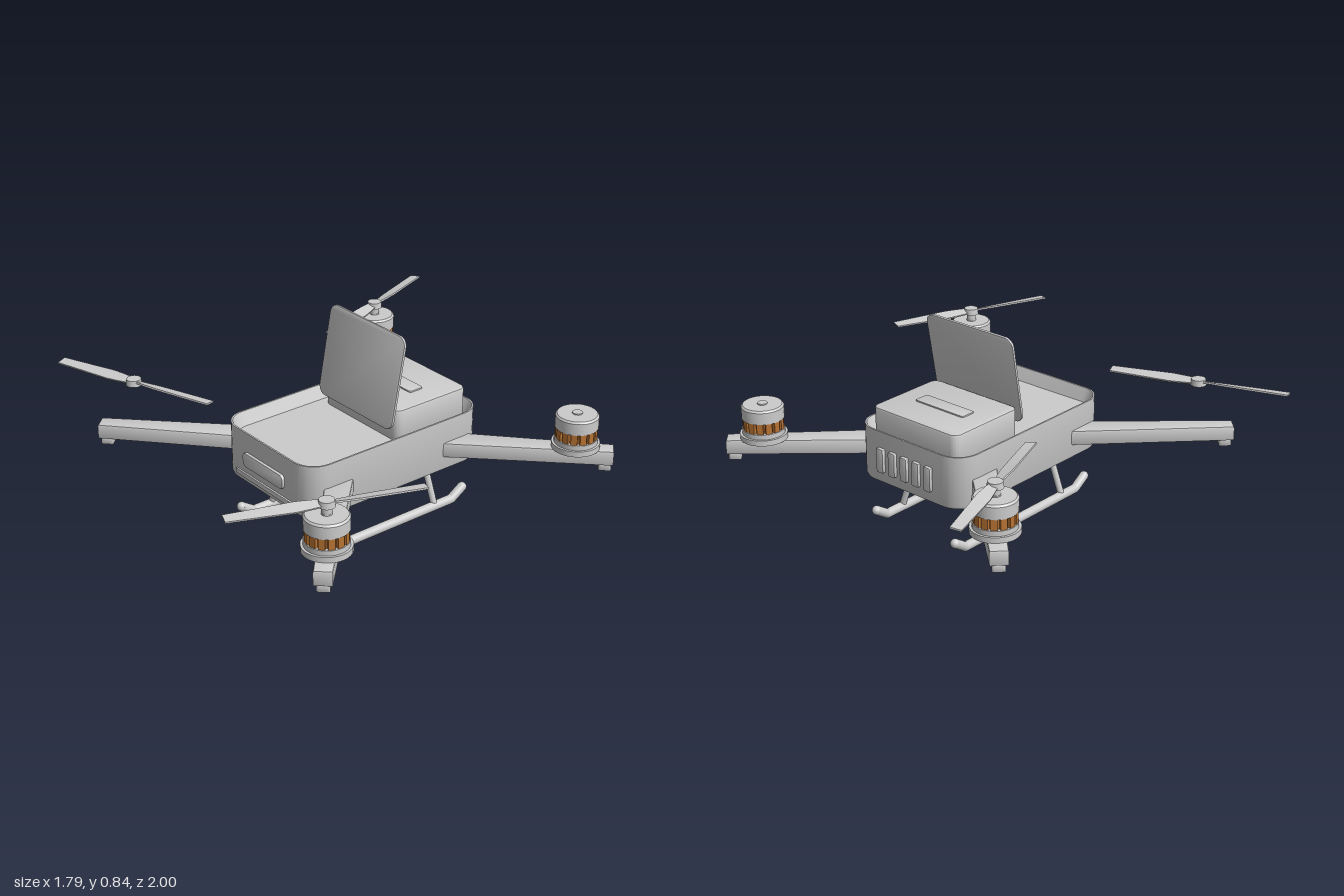
import * as THREE from 'three';
import { toCreasedNormals } from 'three/addons/utils/BufferGeometryUtils.js';

const CX = 0.105;                       // body centre line
const MOTOR = [0.634, 0.637];           // motor offset from body centre (x, z)
const grey = new THREE.MeshStandardMaterial({ color: 0xcccccc });
const copper = new THREE.MeshStandardMaterial({ color: 0xb87333 });

function add(parent, name, geo, x = 0, y = 0, z = 0, mat = grey) {
  const m = new THREE.Mesh(geo, mat);
  m.name = name;
  m.position.set(x, y, z);
  parent.add(m);
  return m;
}

function group(parent, name, x = 0, y = 0, z = 0) {
  const g = new THREE.Group();
  g.name = name;
  g.position.set(x, y, z);
  parent.add(g);
  return g;
}

// Extrudes a shape along z with a small bevel, centred in depth
function bevelled(shape, d, b) {
  const g = new THREE.ExtrudeGeometry(shape, {
    depth: d - 2 * b, bevelThickness: b, bevelSize: b, bevelOffset: -b, bevelSegments: 2, curveSegments: 6,
  });
  g.translate(0, 0, b - d / 2);
  return toCreasedNormals(g, 0.6);
}

// Rounded rectangle plate, w by h, thickness d along z
function plate(w, h, d, r, b) {
  const s = new THREE.Shape();
  const x = w / 2, y = h / 2;
  s.absarc(x - r, y - r, r, 0, Math.PI / 2);
  s.absarc(r - x, y - r, r, Math.PI / 2, Math.PI);
  s.absarc(r - x, r - y, r, Math.PI, Math.PI * 1.5);
  s.absarc(x - r, r - y, r, Math.PI * 1.5, Math.PI * 2);
  s.closePath();
  return bevelled(s, d, b);
}

// Stacks rounded rectangles [halfX, halfZ, radius, y] into a closed skin
function stack(rings) {
  const pos = [], idx = [], seg = 8, n = 4 * (seg + 1);
  for (const [hx, hz, r, y] of rings) {
    for (let q = 0; q < 4; q++) {
      const sx = q === 0 || q === 3 ? 1 : -1, sz = q < 2 ? 1 : -1;
      for (let k = 0; k <= seg; k++) {
        const t = (q + k / seg) * Math.PI / 2;
        pos.push(sx * (hx - r) + r * Math.cos(t), y, sz * (hz - r) + r * Math.sin(t));
      }
    }
  }
  for (let i = 0; i < rings.length - 1; i++) {
    for (let j = 0; j < n; j++) {
      const a = i * n + j, b = i * n + (j + 1) % n;
      idx.push(a, a + n, b, b, a + n, b + n);
    }
  }
  const g = new THREE.BufferGeometry();
  g.setAttribute('position', new THREE.Float32BufferAttribute(pos, 3));
  g.setIndex(idx);
  return toCreasedNormals(g, 0.6);
}

const cyl = (r, h, r2 = r) => new THREE.CylinderGeometry(r2, r, h, 32);

// Cylinder between two points
function rod(parent, name, a, b, r) {
  const d = b.clone().sub(a);
  const m = add(parent, name, new THREE.CylinderGeometry(r, r, d.length(), 16));
  m.position.copy(a).addScaledVector(d, 0.5);
  m.quaternion.setFromUnitVectors(new THREE.Vector3(0, 1, 0), d.normalize());
}

function addArm(parent, sx, sz) {
  // Runs from inside the hull, past the motor, narrowing outward
  const sxz = [0.22, 0.243], dx = MOTOR[0] - sxz[0], dz = MOTOR[1] - sxz[1];
  const reach = Math.hypot(dx, dz), L = reach + 0.155;
  const arm = group(parent, 'arm', CX + sx * sxz[0], 0, sz * sxz[1]);
  arm.rotation.y = Math.atan2(-sz * dz, sx * dx);
  const s = new THREE.Shape([[0, -0.056], [L, -0.036], [L, 0.036], [0, 0.056]].map(p => new THREE.Vector2(...p)));
  add(arm, 'armBeam', bevelled(s, 0.065, 0.008).rotateX(-Math.PI / 2), 0, 0.32, 0);
  add(arm, 'armFoot', plate(0.052, 0.052, 0.034, 0.008, 0.003).rotateX(Math.PI / 2), reach + 0.122, 0.276, 0);
}

function addMotor(parent, x, z, hasShaft) {
  const m = group(parent, 'motor', x, 0, z);
  add(m, 'motorMount', cyl(0.098, 0.024), 0, 0.363, 0);
  add(m, 'motorBase', cyl(0.088, 0.022), 0, 0.385, 0);
  add(m, 'statorCore', cyl(0.07, 0.05), 0, 0.42, 0, copper);
  const coils = 14;
  for (let i = 0; i < coils; i++) {
    const t = i / coils * Math.PI * 2;
    const c = add(m, 'statorCoil', new THREE.BoxGeometry(0.03, 0.046, 0.026),
      0.069 * Math.cos(t), 0.419, 0.069 * Math.sin(t), copper);
    c.rotation.y = -t;
  }
  const bell = [[0, 0.442], [0.088, 0.442], [0.088, 0.492], [0.081, 0.5], [0, 0.5]];
  add(m, 'motorBell', toCreasedNormals(
    new THREE.LatheGeometry(bell.map(p => new THREE.Vector2(...p)), 32), 0.6));
  add(m, 'motorCap', cyl(0.021, 0.006), 0, 0.502, 0);
  if (hasShaft) add(m, 'motorShaft', cyl(0.02, 0.045), 0, 0.52, 0);
}

// Tapered, twisted blade pointing along +x
function bladeGeometry() {
  const g = new THREE.BoxGeometry(0.37, 0.007, 1, 10, 1, 2);
  g.translate(0.195, 0, 0);
  const p = g.attributes.position;
  for (let i = 0; i < p.count; i++) {
    const x = p.getX(i), u = x / 0.38;
    const chord = u < 0.3 ? 0.032 + 0.075 * u : 0.0545 - 0.014 * (u - 0.3);
    const pitch = 0.34 - 0.22 * u, z = p.getZ(i) * chord, y = p.getY(i);
    p.setXYZ(i, x, y * Math.cos(pitch) + z * Math.sin(pitch), z * Math.cos(pitch) - y * Math.sin(pitch));
  }
  return toCreasedNormals(g, 0.6);
}

function addPropeller(parent, x, z, dirX, dirZ) {
  const p = group(parent, 'propeller', x, 0.545, z);
  p.rotation.y = Math.atan2(-dirZ, dirX);
  add(p, 'propellerHub', cyl(0.033, 0.026, 0.03));
  for (const turn of [0, Math.PI]) add(p, 'propellerBlade', bladeGeometry()).rotation.y = turn;
}

export function createModel() {
  const model = new THREE.Group();
  model.name = 'quadcopter';

  // Hull with a sunken deck
  const ring = (inset, y) => [0.29 - inset, 0.449 - inset, 0.1 - inset, y];
  add(model, 'hull', stack([[0, 0, 0, 0.225], ring(0.016, 0.225), ring(0.005, 0.23), ring(0, 0.242),
    ring(0, 0.455), ring(0.007, 0.455), ring(0.032, 0.4), [0, 0, 0, 0.4]]), CX, 0, 0);

  // Battery in the rear of the deck, and the raised hatch in front of it
  add(model, 'battery', plate(0.46, 0.375, 0.14, 0.035, 0.01).rotateX(-Math.PI / 2), CX, 0.462, -0.222);
  add(model, 'batteryGrip', plate(0.26, 0.07, 0.012, 0.01, 0.002).rotateX(-Math.PI / 2), CX, 0.532, -0.225);
  const hatch = group(model, 'hatchHinge', CX, 0.455, -0.008);
  hatch.rotation.x = -0.18;
  add(hatch, 'hatch', plate(0.465, 0.39, 0.012, 0.04, 0.003), 0, 0.195, 0);

  // Front panel and slot, rear vents
  add(model, 'frontPanel', plate(0.262, 0.062, 0.04, 0.02, 0.004), CX, 0.34, 0.442);
  add(model, 'frontStrip', plate(0.372, 0.022, 0.03, 0.003, 0.002), CX, 0.264, 0.442);
  for (let i = -2; i <= 2; i++)
    add(model, 'rearVent', plate(0.036, 0.105, 0.03, 0.006, 0.003), CX + 0.01 + i * 0.065, 0.332, -0.449);

  // Arms, three motors and three propellers
  for (const sx of [-1, 1]) for (const sz of [-1, 1]) addArm(model, sx, sz);
  const L = CX + MOTOR[0], R = CX - MOTOR[0], Z = MOTOR[1];
  addMotor(model, L, Z, true);
  addMotor(model, R, -Z, true);
  addMotor(model, L, -Z, false);
  addPropeller(model, L, Z, 25, -67);
  addPropeller(model, R, -Z, 25, 68);
  addPropeller(model, R, Z, 68, -24.5);

  // Landing skids with upturned ends, and splayed legs
  const V = (x, y, z) => new THREE.Vector3(x, y, z);
  for (const s of [-1, 1]) {
    const x = CX + s * 0.22;
    const pts = [[0.062, -0.41], [0.024, -0.35], [0.024, 0.35], [0.062, 0.41]].map(([y, z]) => V(x, y, z));
    for (let i = 0; i < 3; i++) rod(model, 'skid', pts[i], pts[i + 1], 0.02);
    for (const p of pts) add(model, 'skidJoint', new THREE.SphereGeometry(0.02, 16, 10), p.x, p.y, p.z);
    for (const f of [-1, 1])
      rod(model, 'skidLeg', V(CX + s * 0.155, 0.24, f * 0.242), V(x, 0.03, f * 0.256), 0.014);
  }

  // Rest the skids on the ground
  for (const c of model.children) c.position.y -= 0.004;
  return model;
}
